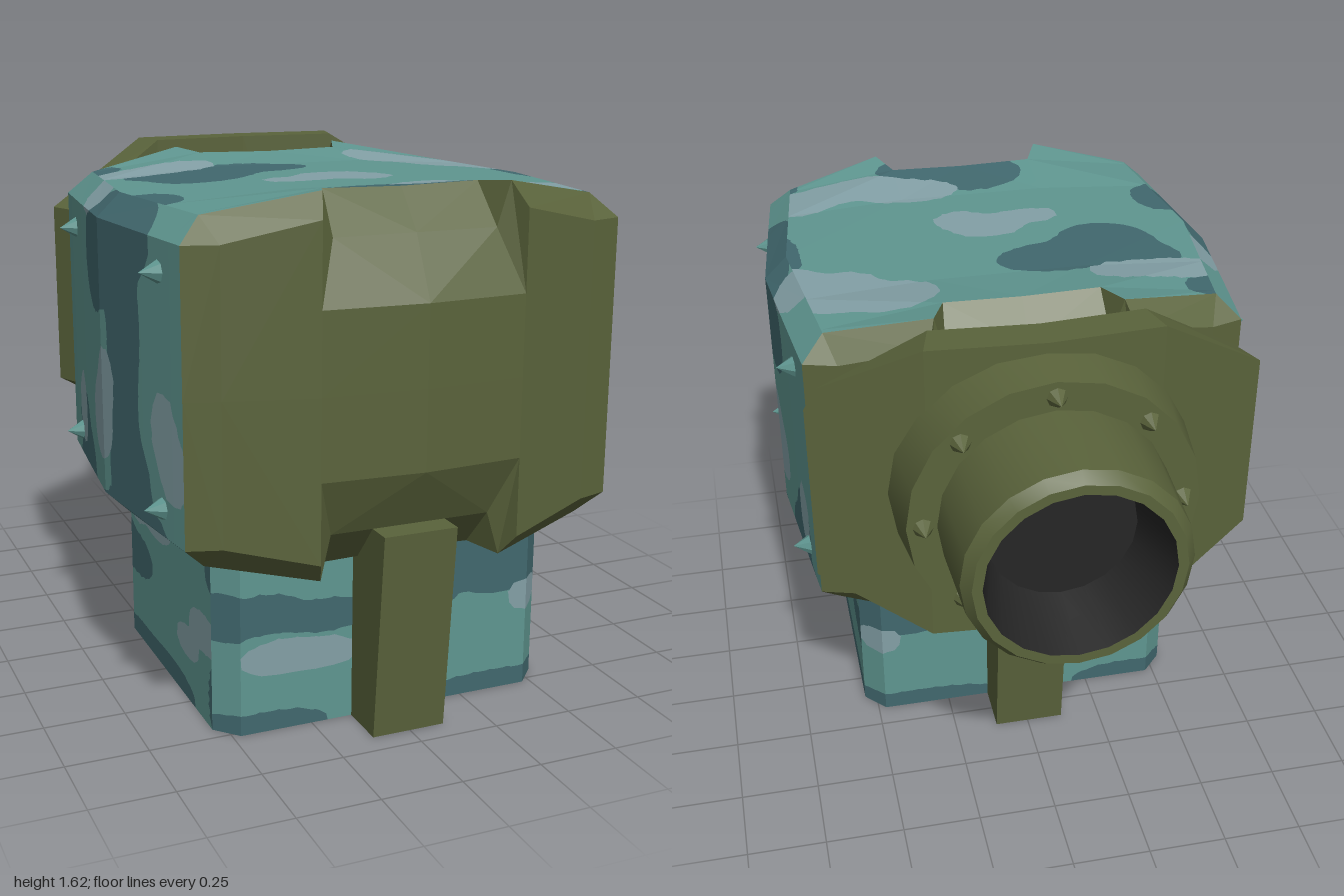
import * as THREE from 'three';
import { toCreasedNormals } from 'three/addons/utils/BufferGeometryUtils.js';

const material = (name, color, side = THREE.FrontSide) => {
  const m = new THREE.MeshStandardMaterial({ color, side });
  m.name = name;
  return m;
};
const V = (x, y, z) => new THREE.Vector3(x, y, z);

// Camouflage blobs per face direction: [u, v, radiusU, radiusV]
const camo = {
  top: { // u = x, v = z
    light: [[-.52, -.05, .17, .07], [-.36, -.06, .11, .06], [0, .34, .12, .08], [-.15, .39, .1, .05], [.08, .4, .08, .06],
      [.36, -.09, .13, .1], [.53, 0, .14, .13], [.66, .12, .08, .08], [.2, .65, .16, .07], [.4, .72, .17, .07], [.58, .68, .13, .09]],
    dark: [[-.36, .16, .16, .14], [-.18, .07, .2, .1], [-.45, .05, .12, .08], [-.64, .5, .1, .11], [.7, .28, .08, .2],
      [-.02, .74, .18, .11], [.12, .8, .18, .08], [-.62, -.18, .1, .07], [.66, .82, .08, .06]],
  },
  side: { // u = z, v = y
    light: [[.26, .87, .11, .13], [.31, 1, .07, .09], [.74, .95, .08, .1], [.8, .85, .09, .1], [-.08, .81, .06, .12], [.1, 1.53, .09, .06]],
    dark: [[.42, 1.45, .25, .12], [.22, 1.35, .14, .16], [.47, 1.2, .12, .22], [.45, .95, .11, .2], [.5, .72, .15, .17],
      [.58, .6, .2, .08], [0, .66, .13, .11], [-.06, .78, .09, .1], [.3, .58, .25, .06], [-.2, .59, .12, .05]],
  },
  baseFront: { // u = x, v = y
    light: [[-.34, .23, .14, .055], [-.2, .22, .1, .045], [.48, .3, .07, .05]],
    dark: [[-.4, .37, .12, .06], [-.2, .34, .14, .05], [-.52, .36, .07, .07], [-.4, .01, .2, .05], [.35, .01, .3, .05],
      [.38, .45, .2, .13], [.16, .37, .07, .06], [.52, .46, .06, .14]],
  },
  baseSide: { // u = z, v = y
    light: [[.63, .28, .13, .06], [.48, .19, .1, .05], [.18, .48, .15, .06], [-.02, .46, .08, .045]],
    dark: [[-.02, .3, .15, .07], [-.12, .32, .08, .08], [.3, .01, .25, .06], [.74, .1, .06, .13], [0, .01, .2, .05], [.72, .5, .07, .07]],
  },
};
const field = (blobs, u, v) => blobs.reduce((s, [a, b, ra, rb]) =>
  s + Math.exp(-2 * (((u - a) / ra) ** 2 + ((v - b) / rb) ** 2)), -Math.exp(-2));

// Collects triangles by colour and turns them into one flat-faced mesh
class Shell {
  constructor() { this.lists = new Map(); }
  tri(mat, a, b, c) {
    if (b.clone().sub(a).cross(c.clone().sub(a)).length() < 1e-9) return;
    if (!this.lists.has(mat)) this.lists.set(mat, []);
    this.lists.get(mat).push(a, b, c);
  }
  // paint = material, or { mats, camo, uv } for a camouflaged face
  quad(paint, a, b, c, d, flip = false) {
    for (const t of [[a, b, c], [a, c, d]]) {
      if (flip) t.reverse();
      if (paint.isMaterial) this.tri(paint, ...t); else this.subdivide(paint, t);
    }
  }
  subdivide(paint, t) {
    const lengths = t.map((p, i) => p.distanceTo(t[(i + 1) % 3]));
    const i = lengths.indexOf(Math.max(...lengths));
    if (lengths[i] < 0.06) return this.split(paint, t, 0);
    const p = t[i], q = t[(i + 1) % 3], r = t[(i + 2) % 3], m = p.clone().lerp(q, 0.5);
    this.subdivide(paint, [p, m, r]);
    this.subdivide(paint, [m, q, r]);
  }
  // Cuts a small triangle along the edge of each colour
  split(paint, t, level) {
    const { mats, camo, uv } = paint;
    if (level === 2) return this.tri(mats[2], ...t);
    const f = t.map((p) => field(level ? camo.dark : camo.light, ...uv(p)));
    for (const sign of [1, -1]) {
      const poly = [];
      t.forEach((p, i) => {
        const j = (i + 1) % 3;
        if (f[i] * sign >= 0) poly.push(p);
        if (f[i] * f[j] < 0) poly.push(f[i] > 0 ? p.clone().lerp(t[j], f[i] / (f[i] - f[j])) : t[j].clone().lerp(p, f[j] / (f[j] - f[i])));
      });
      for (let k = 1; k + 1 < poly.length; k++) {
        const piece = [poly[0], poly[k], poly[k + 1]];
        if (sign > 0) this.tri(mats[level], ...piece); else this.split(paint, piece, level + 1);
      }
    }
  }
  mesh(name) {
    const points = [], mats = [], g = new THREE.BufferGeometry();
    for (const [mat, list] of this.lists) {
      g.addGroup(points.length, list.length, mats.length);
      mats.push(mat);
      for (const p of list) points.push(p);
    }
    g.setFromPoints(points);
    g.computeVertexNormals();
    const mesh = new THREE.Mesh(g, mats);
    mesh.name = name;
    return mesh;
  }
}

export function createModel() {
  const group = new THREE.Group();
  const olive = material('olive', 0x5a633b), teal = material('teal', 0x5f9690), dark = material('dark teal', 0x41686e);
  const light = material('pale grey blue', 0x83a0a6), black = material('black', 0x262626);
  const mats = [light, dark, teal];
  const CY = 1.06, CZ = 0.295; // centre of the head
  const add = (name, geometry, mat) => {
    const m = new THREE.Mesh(geometry, mat);
    m.name = name;
    group.add(m);
    return m;
  };

  // Head: one octant as cross-sections from the front face to the middle, mirrored eight times
  const sections = [
    [[0, 1.3, .99], [.31, 1.3, .97], [.31, 1.54, .97], [.57, 1.48, .9], [.67, 1.48, .87]],
    [[0, 1.48, .9], [.25, 1.48, .9], [.285, 1.61, .91], [.6, 1.55, .82], [.67, 1.48, .87]],
    [[0, 1.595, .8], [.24, 1.6, .8], [.24, 1.6, .8], [.602, 1.55, .8], [.678, 1.48, .8]],
    [[0, 1.575, .6], [.24, 1.575, .6], [.24, 1.575, .6], [.625, 1.55, .6], [.7, 1.48, .6]],
    [[0, 1.575, CZ], [.24, 1.575, CZ], [.24, 1.575, CZ], [.66, 1.55, CZ], [.732, 1.48, CZ]],
  ];
  const topPaint = { mats, camo: camo.top, uv: (p) => [p.x, p.z] };
  const sidePaint = { mats, camo: camo.side, uv: (p) => [p.z, p.y] };
  const head = new Shell();
  for (const sx of [1, -1]) for (const sy of [1, -1]) for (const sz of [1, -1]) {
    const flip = sx * sy * sz < 0;
    const at = ([x, y, z]) => V(sx * x, CY + sy * (y - CY), CZ + sz * (z - CZ));
    const mid = ([x, , z]) => at([x, CY, z]);
    for (let s = 0; s < 4; s++) {
      const A = sections[s], B = sections[s + 1];
      for (let c = 0; c < 4; c++) {
        const trim = s === 0 || (s === 1 && c < 2) || (sy < 0 && c < 3);
        head.quad(trim ? olive : c === 3 ? sidePaint : topPaint, at(A[c]), at(A[c + 1]), at(B[c + 1]), at(B[c]), flip);
      }
      head.quad(sidePaint, at(A[4]), mid(A[4]), mid(B[4]), at(B[4]), flip);
    }
    const F = sections[0];
    for (let c = 0; c < 4; c++) head.quad(olive, at(F[c]), mid(F[c]), mid(F[c + 1]), at(F[c + 1]), flip);
  }
  group.add(head.mesh('head'));

  // Base block with cut corners
  const base = new Shell();
  const outline = [[-.475, .77], [.475, .77], [.54, .7], [.54, -.1], [.475, -.17], [-.475, -.17], [-.54, -.1], [-.54, .7]];
  outline.forEach(([x, z], i) => {
    const [x2, z2] = outline[(i + 1) % 8];
    const paint = x === x2 ? { mats, camo: camo.baseSide, uv: (p) => [p.z, p.y] } : { mats, camo: camo.baseFront, uv: (p) => [p.x, p.y] };
    base.quad(paint, V(x, 0, z), V(x2, 0, z2), V(x2, .56, z2), V(x, .56, z));
    base.tri(olive, V(0, 0, CZ), V(x2, 0, z2), V(x, 0, z));
  });
  group.add(base.mesh('base'));

  // Tapered straps at the front and back of the base
  for (const side of [1, -1]) {
    const g = new THREE.BoxGeometry(.23, .64, .4).translate(0, .32, .485);
    const p = g.attributes.position;
    for (let i = 0; i < p.count; i++) if (p.getY(i) < .1 && p.getZ(i) > .6) p.setZ(i, .63);
    if (side < 0) g.rotateY(Math.PI);
    g.computeVertexNormals();
    add(side > 0 ? 'frontStrap' : 'backStrap', g, olive).position.set(-.005, 0, CZ);
  }

  // Bent octagonal shield behind the head: x back, x front, half height, z back, z front
  const shield = new Shell();
  const columns = [[-.685, -.64, .295, -.425, -.315], [-.35, -.32, .505, -.53, -.415], [0, 0, .505, -.555, -.44],
    [.35, .32, .505, -.53, -.415], [.685, .64, .295, -.425, -.315]]
    .map(([xb, xf, h, zb, zf]) => [V(xf, 1.12 + h, zf), V(xf, 1.12 - h, zf), V(xb, 1.12 - h, zb), V(xb, 1.12 + h, zb)]);
  for (let i = 0; i < 4; i++) for (let k = 0; k < 4; k++) {
    const a = columns[i], b = columns[i + 1], n = (k + 1) % 4;
    shield.quad(olive, a[k], a[n], b[n], b[k]);
  }
  shield.quad(olive, ...columns[4]);
  shield.quad(olive, ...columns[0], true);
  group.add(shield.mesh('shield'));

  // Block joining shield and head
  add('mountBlock', new THREE.BoxGeometry(.33, .8, .3), olive).position.set(0, 1.1, -.32);

  // Collar, barrel and bore turned around the z axis
  const turned = (name, profile, mat) => {
    const g = new THREE.LatheGeometry(profile.map(([r, h]) => new THREE.Vector2(r, h)), 20).rotateX(-Math.PI / 2);
    add(name, toCreasedNormals(g, .5), mat).position.set(.005, 1.14, 0);
  };
  turned('collar', [[.465, .45], [.435, .685], [.33, .685]], olive);
  turned('barrel', [[.345, .68], [.332, .965], [.305, 1], [.275, 1]], olive);
  turned('bore', [[.275, 1], [.22, .78], [0, .78]], black);

  // Pointed studs on the collar and on the head's sides
  const stud = (r, h) => toCreasedNormals(new THREE.ConeGeometry(r, h, 8).translate(0, h / 2, 0), .2);
  for (let i = 0; i < 8; i++) {
    const a = i * Math.PI / 4;
    const m = add('collarStud', stud(.034, .055), olive);
    m.position.set(.005 + .385 * Math.cos(a), 1.14 + .385 * Math.sin(a), -.68);
    m.rotation.x = -Math.PI / 2;
  }
  for (const sx of [1, -1]) for (const y of [.72, 1.39]) for (const z of [.725, -.125]) {
    const m = add('sideStud', stud(.037, .06), teal);
    m.position.set(sx * .68, y, z);
    m.rotation.z = -sx * Math.PI / 2;
  }
  return group;
}
